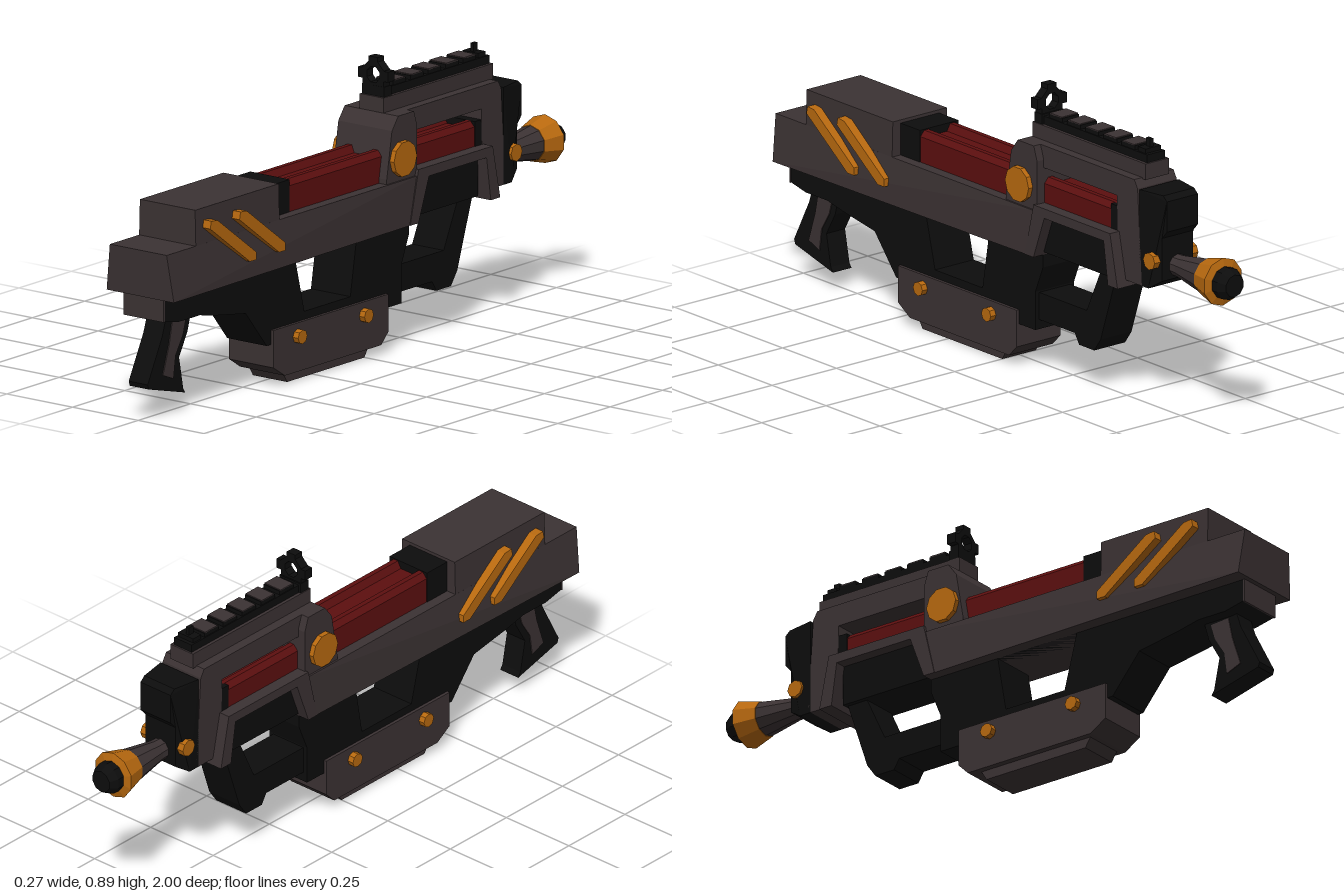
import * as THREE from 'three';

const material = (name, color) => {
  const m = new THREE.MeshStandardMaterial({ color });
  m.name = name;
  return m;
};

export function createModel() {
  const grey = material('warmGrey', 0x3b3233);
  const black = material('black', 0x0d0d0d);
  const red = material('darkRed', 0x5c0f0f);
  const orange = material('orange', 0xb8690f);

  const model = new THREE.Group();
  model.name = 'rifle';

  const add = (name, geometry, mat, x = 0, y = 0, z = 0) => {
    const mesh = new THREE.Mesh(geometry, mat);
    mesh.name = name;
    mesh.position.set(x, y, z);
    model.add(mesh);
    return mesh;
  };
  const toShape = (pts) => new THREE.Shape(pts.map(([a, b]) => new THREE.Vector2(a, b)));

  // Side profile of [z, y] points given thickness along x; widthAt(z, y) can taper it
  const prism = (name, pts, half, mat, { holes = [], widthAt, x = 0 } = {}) => {
    const shape = toShape(pts);
    holes.forEach((h) => shape.holes.push(toShape(h)));
    const g = new THREE.ExtrudeGeometry(shape, { depth: 2 * half, bevelEnabled: false });
    g.translate(0, 0, -half);
    g.rotateY(-Math.PI / 2);
    if (widthAt) {
      const p = g.attributes.position;
      for (let i = 0; i < p.count; i++) p.setX(i, Math.sign(p.getX(i)) * widthAt(p.getZ(i), p.getY(i)));
      g.computeVertexNormals();
    }
    return add(name, g, mat, x);
  };
  const box = (name, w, h, d, mat, x, y, z) => add(name, new THREE.BoxGeometry(w, h, d), mat, x, y, z);
  // Bolt running right across the body
  const bolt = (name, r, half, y, z, sides) => {
    const g = new THREE.CylinderGeometry(r, r, 2 * half, sides).toNonIndexed();
    g.rotateZ(Math.PI / 2);
    g.computeVertexNormals();
    add(name, g, orange, 0, y, z);
  };

  // Stock: flared lower shell and raised rear block
  prism('stockShell', [[0.99, 0.38], [1, 0.525], [-0.2, 0.525], [-0.16, 0.38]], 0.1, grey, {
    widthAt: (z, y) => (y > 0.45 ? 0.108 : 0.11 + 0.018 * Math.max(z, 0)),
  });
  prism('stockTop', [[0.86, 0.52], [0.86, 0.635], [0.46, 0.635], [0.46, 0.52]], 0.1, grey, {
    widthAt: (z, y) => (y > 0.6 ? 0.105 : 0.108),
  });

  // Slanted side strips
  for (const side of [-1, 1]) {
    for (const dz of [0, -0.14]) {
      prism('sideStrip', [[0.825, 0.575], [0.82, 0.598], [0.79, 0.595], [0.605, 0.46], [0.605, 0.436], [0.635, 0.436]]
        .map(([z, y]) => [z + dz, y]), 0.02, orange, { x: side * 0.115 });
    }
  }

  // Lower frame with the open window
  prism('lowerFrame', [
    [0.97, 0.39], [0.97, 0.31], [0.9, 0.295], [0.8, 0.295], [0.73, 0.28], [0.58, 0.255], [0.48, 0.135],
    [-0.165, 0.135], [-0.165, 0.255], [-0.2, 0.34], [-0.2, 0.39],
  ], 0.075, black, { holes: [[[0.345, 0.38], [0.05, 0.38], [0.08, 0.205], [0.3, 0.205]]] });
  box('buttPlate', 0.152, 0.078, 0.006, grey, 0, 0.347, 0.971);

  // Rear grip with inset panels
  prism('grip', [
    [0.91, 0.31], [0.79, 0.31], [0.81, 0.24], [0.85, 0.17], [0.83, 0.07], [0.82, 0.055], [0.995, 0.1], [1, 0.115], [0.93, 0.25],
  ], 0.036, black);
  prism('gripPanel', [[0.885, 0.29], [0.82, 0.285], [0.835, 0.235], [0.87, 0.18], [0.88, 0.11], [0.93, 0.13], [0.9, 0.22]], 0.039, grey);

  // Magazine
  prism('magazine', [
    [0.46, 0.18], [-0.09, 0.18], [-0.09, 0.065], [-0.055, 0.03], [0.405, 0.03], [0.46, 0.065],
  ], 0.085, grey);
  prism('magazineFloor', [[0.39, 0.032], [-0.02, 0.032], [0, 0], [0.37, 0]], 0.065, grey);
  for (const z of [0.345, 0.028]) bolt('magazineBolt', 0.022, 0.105, 0.14, z, 8);

  // Trigger housing, guard and trigger
  prism('triggerHousing', [[-0.2, 0.53], [-0.53, 0.53], [-0.53, 0.39], [-0.19, 0.39]], 0.075, black);
  prism('triggerGuard', [
    [-0.14, 0.25], [-0.385, 0.25], [-0.455, 0.4], [-0.525, 0.4], [-0.45, 0.175], [-0.42, 0.133],
    [-0.35, 0.133], [-0.33, 0.165], [-0.14, 0.165],
  ], 0.06, black);
  prism('trigger', [[-0.165, 0.4], [-0.205, 0.4], [-0.2, 0.36], [-0.18, 0.315], [-0.155, 0.3]], 0.02, grey);

  // Barrel jacket: grooved red cross-section swept along z
  const section = toShape([
    [-0.073, 0.5], [0.073, 0.5], [0.073, 0.605], [0.058, 0.622], [0.042, 0.622], [0.03, 0.6],
    [-0.03, 0.6], [-0.042, 0.622], [-0.058, 0.622], [-0.073, 0.605],
  ]);
  add('barrelJacket', new THREE.ExtrudeGeometry(section, { depth: 0.91, bevelEnabled: false }), red, 0, 0, -0.53);
  const cap = new THREE.ExtrudeGeometry(
    toShape([[-0.075, -0.37], [0.075, -0.37], [0.075, -0.47], [0.04, -0.51], [-0.04, -0.51], [-0.075, -0.47]]),
    { depth: 0.125, bevelEnabled: false });
  cap.rotateX(-Math.PI / 2);
  add('jacketRearCap', cap, black, 0, 0.5, 0);
  box('jacketFrontCap', 0.15, 0.12, 0.04, black, 0, 0.562, -0.535);

  // Central tower, bridge and front column
  prism('tower', [
    [-0.06, 0.45], [-0.06, 0.54], [-0.085, 0.685], [-0.115, 0.725], [-0.19, 0.725], [-0.205, 0.68], [-0.205, 0.53], [-0.18, 0.45],
  ], 0.102, grey);
  bolt('towerBolt', 0.055, 0.118, 0.593, -0.13, 10);
  prism('upperBridge', [
    [-0.15, 0.655], [-0.15, 0.725], [-0.625, 0.725], [-0.64, 0.7], [-0.66, 0.4], [-0.55, 0.4], [-0.545, 0.655],
  ], 0.076, grey);
  prism('sideFrame', [
    [-0.2, 0.545], [-0.555, 0.545], [-0.59, 0.38], [-0.545, 0.38], [-0.525, 0.515], [-0.25, 0.515], [-0.2, 0.38], [-0.16, 0.38],
  ], 0.112, grey);

  // Muzzle block
  prism('muzzleBlock', [
    [-0.65, 0.7], [-0.74, 0.7], [-0.757, 0.685], [-0.757, 0.59], [-0.735, 0.565], [-0.735, 0.43], [-0.69, 0.4], [-0.65, 0.4],
  ], 0.075, black, { widthAt: (z) => (z < -0.7 ? 0.06 : 0.076) });
  bolt('muzzleBolt', 0.027, 0.085, 0.49, -0.703, 8);

  // Muzzle: cone, flared collar and tip
  const ring = (name, points, mat) => {
    const g = new THREE.LatheGeometry(points.map(([r, d]) => new THREE.Vector2(r, d)), 10).toNonIndexed();
    g.rotateX(-Math.PI / 2);
    g.computeVertexNormals();
    add(name, g, mat, 0, 0.47, 0);
  };
  ring('barrel', [[0, 0.7], [0.033, 0.7], [0.035, 0.76], [0.056, 0.885], [0, 0.885]], grey);
  ring('muzzleCollar', [[0, 0.875], [0.056, 0.875], [0.075, 0.945], [0.05, 0.952], [0, 0.952]], orange);
  ring('muzzleTip', [[0, 0.94], [0.05, 0.94], [0.05, 0.975], [0.035, 1], [0, 1]], black);

  // Sight rail
  box('railRiser', 0.09, 0.05, 0.525, grey, 0, 0.746, -0.378);
  box('rail', 0.07, 0.026, 0.48, black, 0, 0.783, -0.395);
  for (let i = 0; i < 5; i++) {
    const z = -0.208 - i * 0.084;
    box('railTooth', 0.064, 0.014, 0.062, black, 0, 0.802, z);
    box('railToothTop', 0.064, 0.004, 0.055, grey, 0, 0.81, z);
  }

  // Front post and rear ring sight
  box('frontSightBase', 0.06, 0.03, 0.035, black, 0, 0.795, -0.605);
  box('frontSightPost', 0.012, 0.04, 0.02, black, 0, 0.815, -0.605);
  box('rearSightBase', 0.084, 0.035, 0.035, black, 0, 0.785, -0.14);
  const octagon = (r) => Array.from({ length: 8 }, (_, i) => {
    const a = (i + 0.5) * Math.PI / 4;
    return [r * Math.cos(a), r * Math.sin(a)];
  });
  const sight = toShape(octagon(0.044));
  sight.holes.push(toShape(octagon(0.026)));
  add('rearSightRing', new THREE.ExtrudeGeometry(sight, { depth: 0.03, bevelEnabled: false }), black, 0, 0.835, -0.153);
  for (const side of [-1, 1]) {
    box('rearSightEar', 0.02, 0.032, 0.03, black, side * 0.047, 0.835, -0.138);
    box('rearSightLeg', 0.016, 0.035, 0.03, black, side * 0.032, 0.805, -0.138);
  }
  box('rearSightNub', 0.034, 0.02, 0.03, black, 0, 0.88, -0.138);

  return model;
}
